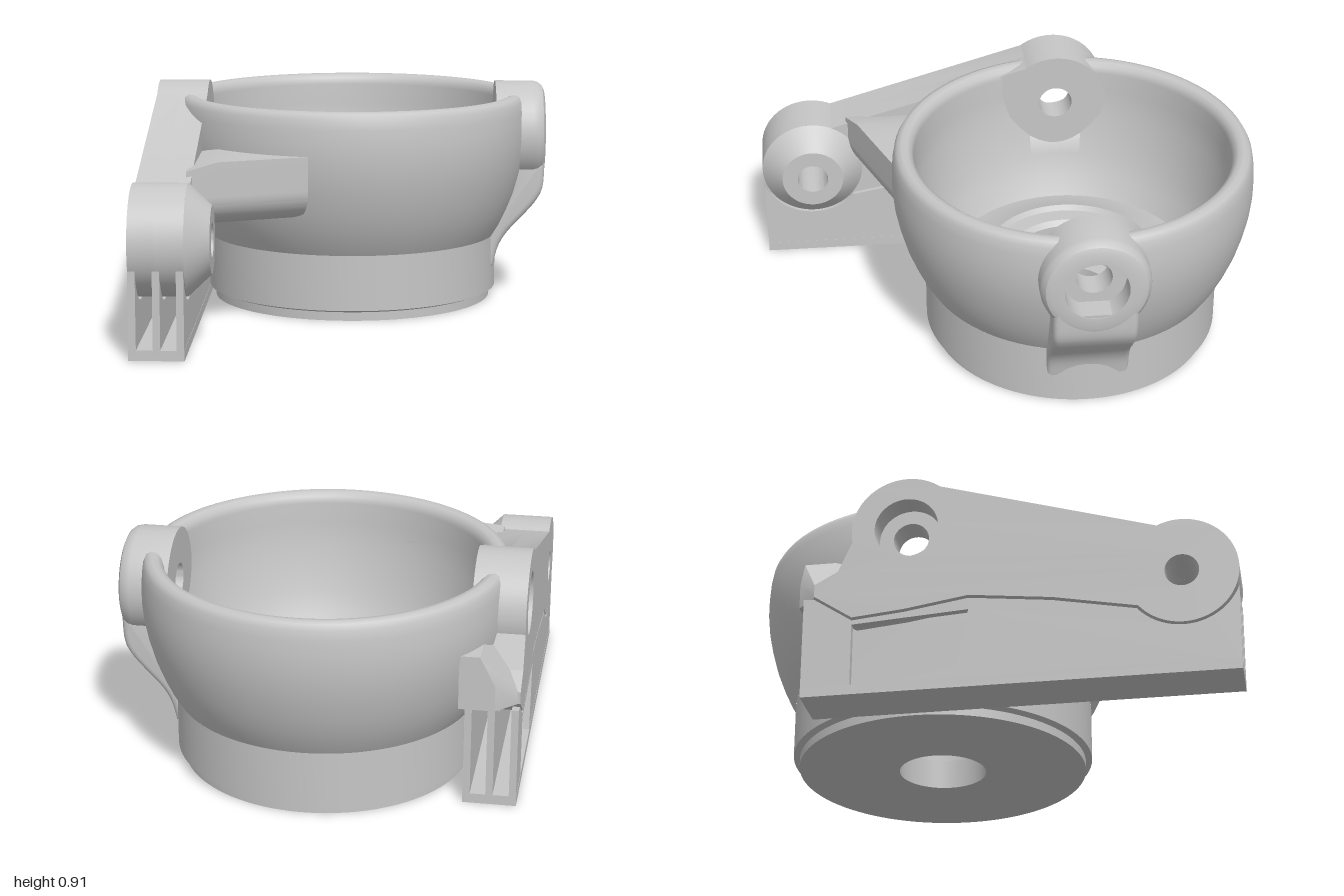
import * as THREE from 'three';
import { toCreasedNormals } from 'three/addons/utils/BufferGeometryUtils.js';

const grey = new THREE.MeshStandardMaterial({ color: 0xc6c6c6 });
grey.name = 'plain grey';
const CZ = -0.265;                          // bowl axis
const HUB = { z: CZ, y: 0.69, r: 0.215 };   // pivot hubs
const EYE = { z: 0.79, y: 0.42, r: 0.215 }; // front eye of the arm
const v2 = (list) => list.map(([a, b]) => new THREE.Vector2(a, b));
const { lerp } = THREE.MathUtils;

export function createModel() {
  const model = new THREE.Group();
  model.name = 'cupBracket';

  const addSmooth = (name, geo, x = 0, y = 0, z = 0) => {
    const mesh = new THREE.Mesh(geo, grey);
    mesh.name = name;
    mesh.position.set(x, y, z);
    model.add(mesh);
  };
  const add = (name, geo, ...pos) => addSmooth(name, toCreasedNormals(geo, 0.5), ...pos);
  // Shape in (z, y) extruded from x0 towards -x
  const sidePlate = (name, shape, x0, depth) => {
    const g = new THREE.ExtrudeGeometry(shape, { depth, bevelEnabled: false, curveSegments: 32 });
    add(name, g.rotateY(-Math.PI / 2), x0);
  };
  // Move every vertex by a rule returning [x, y, z]
  const reshape = (geo, rule) => {
    const p = geo.attributes.position;
    for (let i = 0; i < p.count; i++) p.setXYZ(i, ...rule(p.getX(i), p.getY(i), p.getZ(i)));
    return geo;
  };
  const circle = (c, r) => new THREE.Path().absarc(c.z, c.y, r, 0, Math.PI * 2, true);

  // Base ring with the raised stepped seat inside
  const base = v2([[0.175, 0], [0.58, 0], [0.58, 0.035], [0.605, 0.045], [0.605, 0.27], [0.51, 0.27],
    [0.345, 0.33], [0.33, 0.31], [0.26, 0.31], [0.24, 0.29], [0.24, 0.12], [0.175, 0.12], [0.175, 0]]);
  add('base', new THREE.LatheGeometry(base, 96), 0, 0, CZ);

  // Bowl wall in two long arcs, with low arcs bridging them under the hubs
  const outerLow = [[0.605, 0.27], [0.635, 0.32], [0.663, 0.38], [0.69, 0.45], [0.712, 0.53]];
  const innerLow = [[0.61, 0.53], [0.588, 0.44], [0.555, 0.35], [0.51, 0.27]];
  const rim = [[0.726, 0.6], [0.733, 0.67], [0.733, 0.73], [0.729, 0.79], [0.722, 0.83],
    [0.71, 0.852], [0.69, 0.86], [0.667, 0.856], [0.65, 0.842], [0.642, 0.815],
    [0.642, 0.73], [0.632, 0.63]];
  const gap = 0.18;
  for (const side of [-1, 1]) {
    const start = side * Math.PI / 2;
    addSmooth(side < 0 ? 'frontBowlWall' : 'backBowlWall',
      new THREE.LatheGeometry(v2([...outerLow, ...rim, ...innerLow]), 48, start + gap, Math.PI - 2 * gap), 0, 0, CZ);
    addSmooth('bowlWallUnderHub',
      new THREE.LatheGeometry(v2([...outerLow, ...innerLow]), 6, start - gap, 2 * gap), 0, 0, CZ);
  }

  // Left pivot hub with rounded outer edge and counterbore
  const hub = v2([[0.07, 0.6], [0.215, 0.6], [0.215, 0.755], [0.21, 0.778], [0.196, 0.796],
    [0.175, 0.805], [0.125, 0.805], [0.125, 0.71], [0.07, 0.71], [0.07, 0.6]]);
  add('leftHub', new THREE.LatheGeometry(hub, 48).rotateZ(-Math.PI / 2), 0, HUB.y, HUB.z);

  // Curved strut under the left hub, with softened edges
  const strut = new THREE.Shape();
  strut.moveTo(0.5, 0.14);
  strut.lineTo(0.592, 0.14);
  strut.splineThru(v2([[0.612, 0.22], [0.65, 0.285], [0.715, 0.355], [0.77, 0.42], [0.797, 0.48], [0.803, 0.58]]));
  for (const [x, y] of [[0.66, 0.58], [0.645, 0.47], [0.58, 0.33], [0.5, 0.24]]) strut.lineTo(x, y);
  add('leftStrut', new THREE.ExtrudeGeometry(strut, { depth: 0.28, curveSegments: 4,
    bevelThickness: 0.025, bevelSize: 0.025, bevelOffset: -0.025, bevelSegments: 4 }), 0, 0, CZ - 0.14);

  // Right arm joining the hub to the front eye, in two layers for the counterbore
  const under = [[-0.62, 0.42], [-0.47, 0.32], [-0.27, 0.34], [-0.02, 0.38], [0.3, 0.345], [0.62, 0.285]];
  const armShape = (bore) => {
    const s = new THREE.Shape();
    under.forEach(([z, y], i) => (i ? s.lineTo(z, y) : s.moveTo(z, y)));
    s.absarc(EYE.z, EYE.y, EYE.r, -2.45, 2.0, false);
    s.absarc(HUB.z, HUB.y, HUB.r, 0.92, 3.35, false);
    s.lineTo(-0.53, 0.52);
    s.lineTo(-0.62, 0.47);
    s.holes.push(circle(HUB, bore), circle(EYE, 0.065));
    return s;
  };
  sidePlate('armInnerLayer', armShape(0.07), -0.6, 0.11);
  sidePlate('armOuterLayer', armShape(0.125), -0.71, 0.1);

  // Conical boss on the inside of the eye
  const cone = v2([[0.065, 0], [0.215, 0], [0.13, 0.09], [0.065, 0.09], [0.065, 0]]);
  add('eyeBoss', new THREE.LatheGeometry(cone, 48).rotateZ(-Math.PI / 2), -0.6, EYE.y, EYE.z);

  // Front rib: rounded lower edge, running from the arm to a tangent on the bowl
  const ribProfile = new THREE.Shape();
  ribProfile.moveTo(0, 0.685);
  ribProfile.lineTo(0, 0.55);
  ribProfile.absarc(0.12, 0.55, 0.12, Math.PI, Math.PI * 1.5, false);
  ribProfile.lineTo(0.2, 0.43);
  ribProfile.lineTo(0.2, 0.685);
  const rib = new THREE.ExtrudeGeometry(ribProfile, { depth: 1, steps: 4, bevelEnabled: false });
  add('frontRib', reshape(rib, (u, y, t) => {
    const height = y > 0.6 && t < 0.2 ? 0.655 : y;
    return u > 0.15
      ? [lerp(-0.64, -0.206, t), height, lerp(0.15, 0.34, t)]
      : [lerp(-0.62, -0.16, t) - 0.38 * u, height, lerp(0.638, 0.45, t) - 0.92 * u];
  }));

  // Back gusset tying the arm to the bowl, its top falling away outwards
  const gussetPlan = new THREE.Shape(v2([[-0.58, 0.7], [-0.66, 0.7], [-0.72, 0.7], [-0.8, 0.62],
    [-0.8, 0.42], [-0.66, 0.36], [-0.63, 0.5]]));
  const gusset = new THREE.ExtrudeGeometry(gussetPlan, { depth: 0.25, bevelEnabled: false });
  add('backGusset', reshape(gusset.rotateX(-Math.PI / 2), (x, y, z) =>
    [x, y < 0.1 ? 0.42 : x < -0.75 ? 0.47 : x < -0.7 ? 0.52 : 0.64, z]));

  // Support under the arm: floor strip and three thin walls, leaving a fine gap
  add('supportFloor', new THREE.BoxGeometry(0.21, 0.04, 1.66), -0.705, 0.02, 0.17);
  const wallShape = () => {
    const s = new THREE.Shape(v2([[-0.66, 0.02], [1, 0.02]]));
    s.absarc(EYE.z, EYE.y, 0.226, -0.36, -2.45, true);
    [...under].reverse().forEach(([z, y]) => s.lineTo(z, y - 0.012));
    s.lineTo(-0.66, 0.41);
    return s;
  };
  const outerWall = wallShape();
  outerWall.holes.push(new THREE.Path(v2([[-0.47, 0.04], [-0.47, 0.29], [-0.02, 0.32], [-0.07, 0.04]])));
  sidePlate('supportInnerWall', wallShape(), -0.601, 0.028);
  sidePlate('supportMiddleWall', wallShape(), -0.69, 0.028);
  sidePlate('supportOuterWall', outerWall, -0.781, 0.028);

  return model;
}
